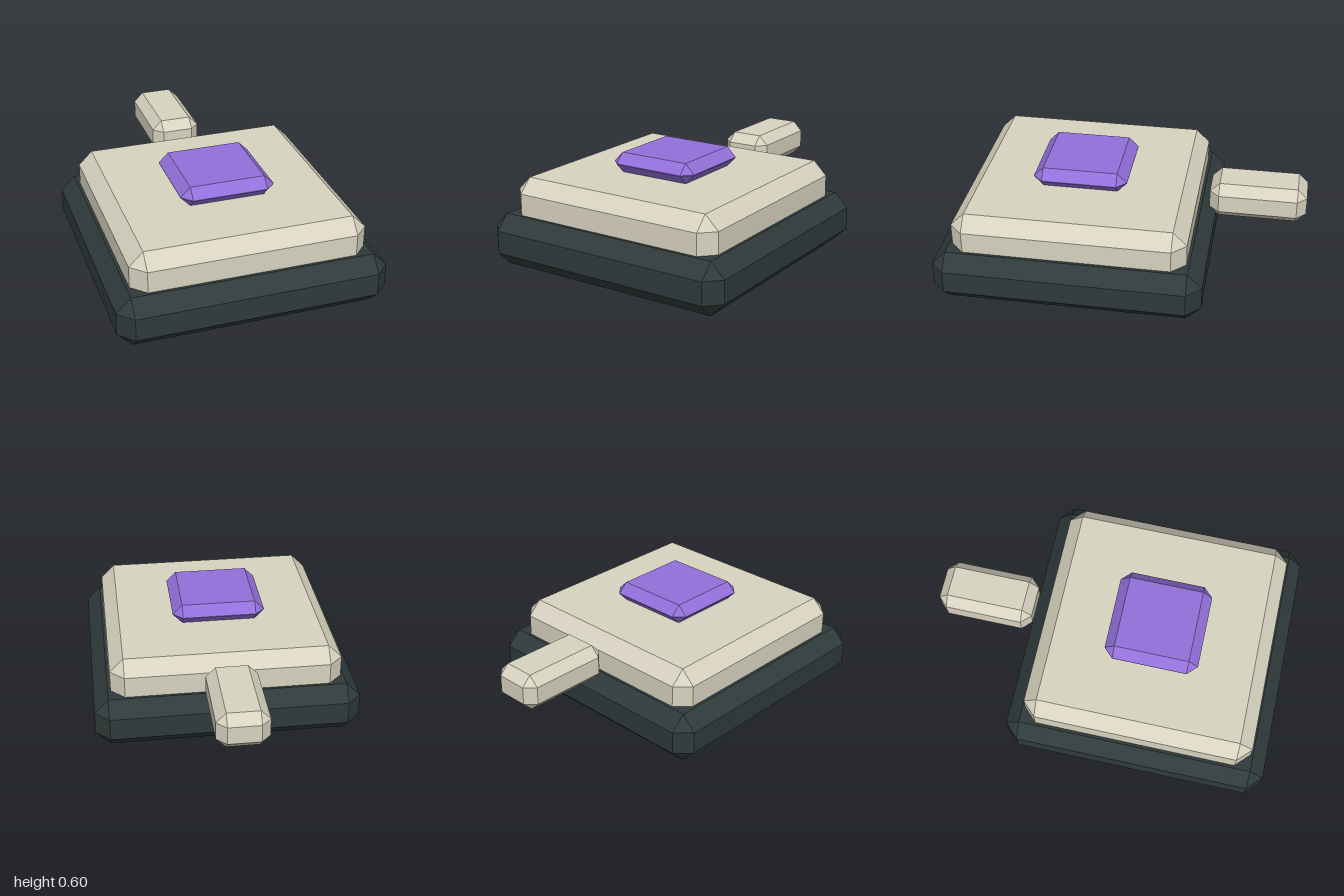
import * as THREE from 'three';
import { ConvexGeometry } from 'three/addons/geometries/ConvexGeometry.js';

const mat = (name, color) => {
  const m = new THREE.MeshStandardMaterial({ color });
  m.name = name;
  return m;
};

// Box with every edge chamfered: each corner becomes a small triangle
function chamferBox(name, material, [x0, x1], [y0, y1], [z0, z1], bevel) {
  const half = [(x1 - x0) / 2, (y1 - y0) / 2, (z1 - z0) / 2];
  const points = [];
  for (const sx of [-1, 1]) for (const sy of [-1, 1]) for (const sz of [-1, 1]) {
    for (let axis = 0; axis < 3; axis++) {
      const [x, y, z] = half.map((h, i) => (i === axis ? h : h - bevel));
      points.push(new THREE.Vector3(sx * x, sy * y, sz * z));
    }
  }
  const mesh = new THREE.Mesh(new ConvexGeometry(points), material);
  mesh.name = name;
  mesh.position.set((x0 + x1) / 2, (y0 + y1) / 2, (z0 + z1) / 2);
  return mesh;
}

export function createModel() {
  const dark = mat('dark slate', 0x2f3a3a);
  const cream = mat('warm cream', 0xd8d3c0);
  const purple = mat('purple', 0x9370db);

  const model = new THREE.Group();
  model.name = 'beveledDevice';
  model.add(
    // Wide foot
    chamferBox('base', dark, [-0.742, 0.742], [0, 0.288], [-0.485, 1], 0.08),
    // Main slab, its lower chamfer sunk into the base
    chamferBox('body', cream, [-0.646, 0.646], [0.19, 0.486], [-0.39, 0.904], 0.077),
    // Raised button on top
    chamferBox('button', purple, [-0.263, 0.263], [0.486, 0.598], [-0.008, 0.519], 0.0545),
    // Detached stub behind the body
    chamferBox('rearHandle', cream, [-0.141, 0.141], [0.313, 0.519], [-1, -0.46], 0.053),
  );
  return model;
}
